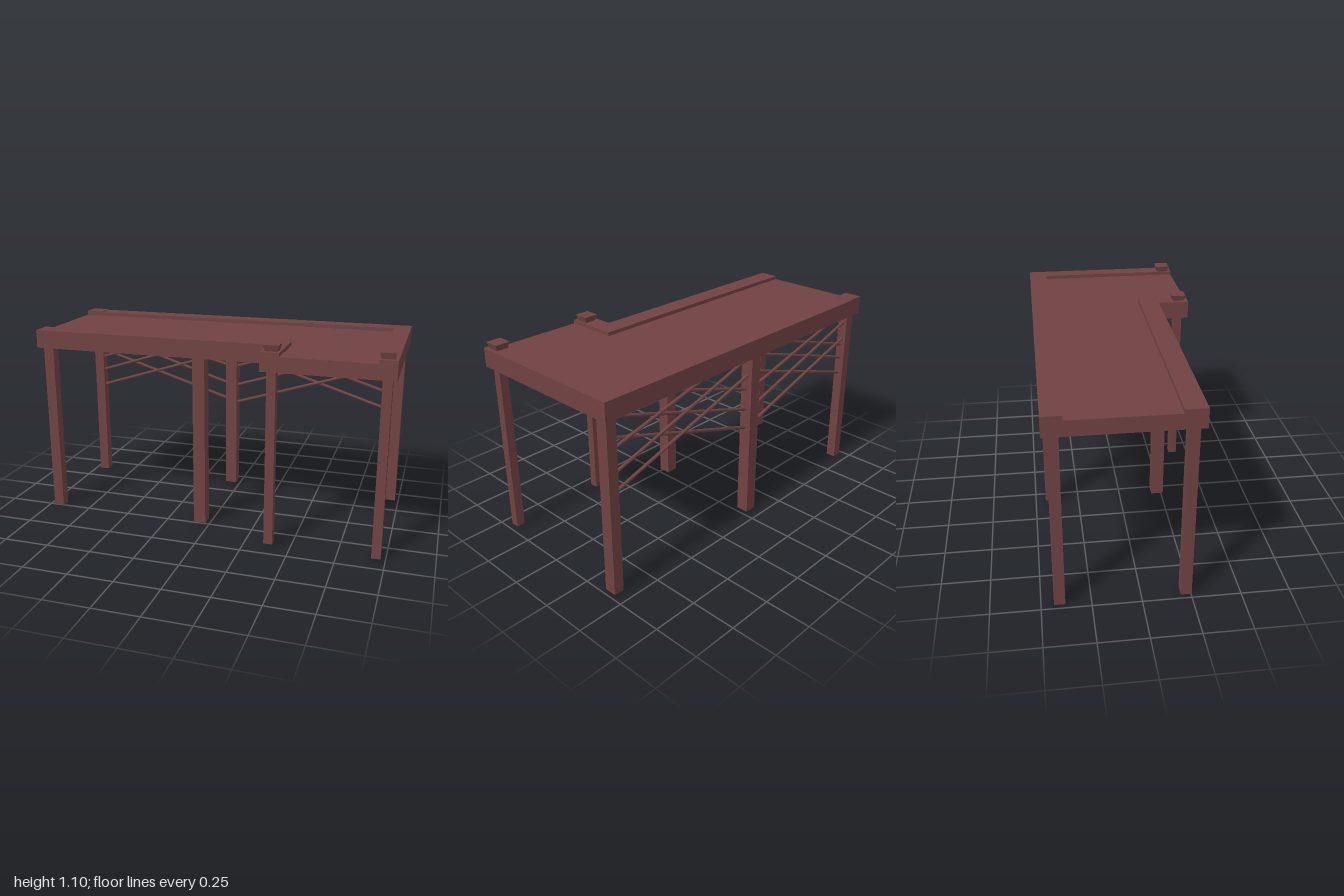
import * as THREE from 'three';

export function createModel() {
  const group = new THREE.Group();
  const wood = new THREE.MeshStandardMaterial({ color: 0x704242 });
  wood.name = 'redBrownWood';

  const add = (name, geometry) => {
    const mesh = new THREE.Mesh(geometry, wood);
    mesh.name = name;
    group.add(mesh);
    return mesh;
  };

  // Slab from an outline of [x, z] points, between two heights
  const slab = (name, points, y0, y1) => {
    const shape = new THREE.Shape(points.map(([x, z]) => new THREE.Vector2(x, -z)));
    const geometry = new THREE.ExtrudeGeometry(shape, { depth: y1 - y0, bevelEnabled: false });
    geometry.rotateX(-Math.PI / 2).translate(0, y0, 0);
    return add(name, geometry);
  };

  const bottom = 0.965, floor = 1.045, rim = 1.065;

  // L-shaped deck with its raised edges
  slab('deck', [[-1, 0.28], [0.33, 0.28], [0.33, 0.455], [1, 0.455], [1, -0.46], [-1, -0.46]], bottom, floor);
  slab('frontRim', [[-1, 0.28], [0.33, 0.28], [0.33, 0.455], [0.43, 0.455], [0.43, 0.17], [-1, 0.17]], floor, rim);
  slab('backRim', [[-1, -0.36], [0.91, -0.36], [0.91, 0.455], [1, 0.455], [1, -0.46], [-1, -0.46]], floor, rim);
  slab('cornerPlate', [[-1, -0.36], [-0.9, -0.36], [-0.9, -0.46], [-1, -0.46]], rim, rim + 0.004);

  // Legs: x, z, width, depth, foot height
  const legs = [
    [-0.945, 0.225, 0.058, 0.056, 0],
    [-0.945, -0.408, 0.058, 0.056, 0],
    [-0.053, 0.225, 0.068, 0.07, 0.01],
    [-0.053, -0.408, 0.068, 0.07, 0.01],
    [0.953, -0.408, 0.057, 0.066, 0.01],
    [0.384, 0.4, 0.048, 0.048, 0.017],
    [0.953, 0.4, 0.048, 0.048, 0.017],
  ];
  for (const [x, z, w, d, y] of legs) {
    const h = bottom + 0.005 - y;
    add('leg', new THREE.BoxGeometry(w, h, d)).position.set(x, y + h / 2, z);
  }

  // Flared caps above the front legs
  for (const x of [0.384, 0.95]) {
    const cap = new THREE.CylinderGeometry(0.041 * Math.SQRT2, 0.032 * Math.SQRT2, 0.033, 4, 1).toNonIndexed();
    cap.rotateY(Math.PI / 4);
    cap.computeVertexNormals();
    add('postCap', cap).position.set(x, rim + 0.0165, 0.4);
  }

  // Crossed round rods between the back legs: x0, y0, x1, y1
  const rods = [
    [-0.925, 0.585, -0.08, 0.855], [-0.925, 0.685, -0.08, 0.955], [-0.925, 0.77, -0.28, 0.972],
    [-0.925, 0.92, -0.08, 0.655], [-0.925, 0.815, -0.08, 0.555], [-0.85, 0.972, -0.08, 0.77],
    [-0.025, 0.54, 0.93, 0.845], [-0.025, 0.65, 0.93, 0.955], [-0.025, 0.77, 0.61, 0.972],
    [-0.025, 0.955, 0.93, 0.66], [-0.025, 0.855, 0.93, 0.56], [0.21, 0.972, 0.93, 0.79],
  ];
  for (const [x0, y0, x1, y1] of rods) {
    const length = Math.hypot(x1 - x0, y1 - y0);
    const rod = add('braceRod', new THREE.CylinderGeometry(0.009, 0.009, length, 10));
    rod.rotation.z = Math.atan2(y1 - y0, x1 - x0) - Math.PI / 2;
    rod.position.set((x0 + x1) / 2, (y0 + y1) / 2, y1 > y0 ? -0.402 : -0.412);
  }

  return group;
}
